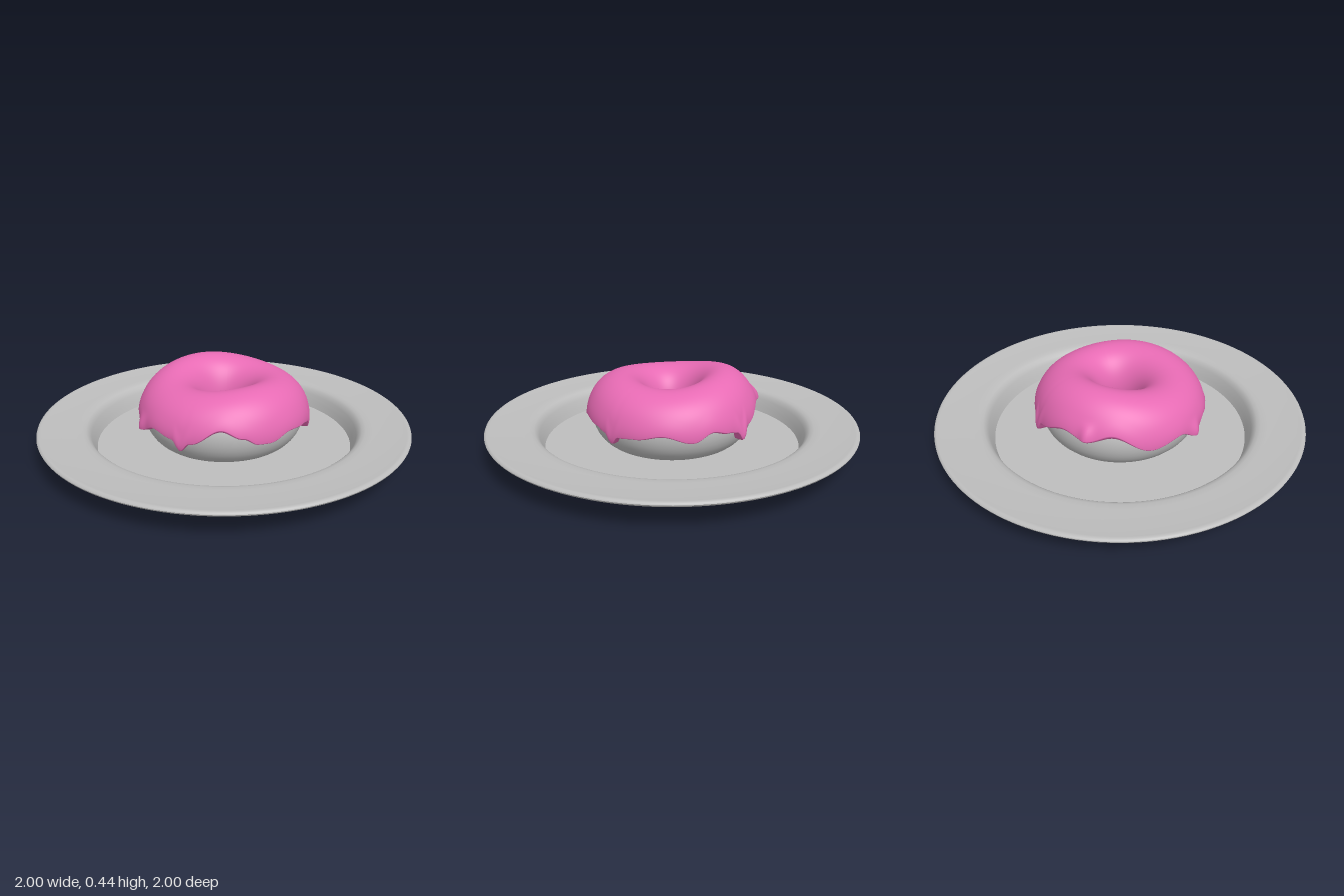
import * as THREE from 'three';
import { toCreasedNormals } from 'three/addons/utils/BufferGeometryUtils.js';

const RING = 0.2735;    // radius of the ring's centre line
const MID = 0.2;        // height of the ring's centre line
const DOUGH_R = 0.157;  // dough half width
const DOUGH_H = 0.17;   // dough half height

// Lower edge of the icing: [degrees from the front towards +x, height]
const EDGE = [
  [0, 0.175], [16, 0.205], [33, 0.195], [43, 0.18], [48.5, 0.13], [54, 0.175], [66, 0.185],
  [84, 0.21], [103, 0.175], [116, 0.215], [128, 0.195], [135, 0.185], [140, 0.135], [146, 0.195],
  [170, 0.245], [186, 0.225], [203, 0.26], [229, 0.185], [250, 0.21], [264, 0.16], [280, 0.205],
  [296, 0.185], [302, 0.135], [308, 0.18], [328, 0.255], [342, 0.215], [352, 0.18], [360, 0.175],
];
// Swollen drip ends: [degrees, extra thickness]
const DRIPS = [[48.5, 0.25], [140, 0.6], [186, 0.6], [264, 0.7], [302, 0.35]];

function edgeHeight(deg) {
  const i = Math.max(1, EDGE.findIndex(([d]) => d >= deg));
  const [d0, h0] = EDGE[i - 1], [d1, h1] = EDGE[i];
  const t = (1 - Math.cos(Math.PI * (deg - d0) / (d1 - d0))) / 2;
  return h0 + (h1 - h0) * t;
}

// Point on the icing: a = angle round the ring, phi = angle round the tube,
// k = 0 on the dough, 1 on the icing's outside
function icingPoint(a, phi, k) {
  const c = Math.cos(phi), s = Math.sin(phi);
  const crest = 0.207 + 0.0165 * Math.cos(2 * a) - 0.0135 * Math.cos(a) + 0.005 * Math.sin(a);
  const width = 0.176 + 0.0105 * c;
  const height = s > 0 ? crest : 0.18 + (crest - 0.18) * Math.max(0, 1 + s * 4);
  const r = RING + c * THREE.MathUtils.lerp(DOUGH_R - 0.004, width, k);
  return [r * Math.sin(a), MID + s * THREE.MathUtils.lerp(DOUGH_H - 0.004, height, k), r * Math.cos(a)];
}

function icingGeometry() {
  const cols = 240, rows = 44, lip = 6;
  const positions = [], index = [];
  const total = rows + lip;
  for (let i = 0; i <= total; i++) {
    for (let j = 0; j < cols; j++) {
      const deg = j / cols * 360, a = THREE.MathUtils.degToRad(deg);
      const start = THREE.MathUtils.degToRad(200);
      const end = Math.asin((edgeHeight(deg) - MID) / 0.185) + 0.06;
      const t = Math.min(1, i / rows);
      const q = Math.max(0, i - rows) / lip * Math.PI / 2;
      const phi = start + (end - start) * t - 0.06 * Math.sin(q);
      // thicken towards the drip ends
      let swell = 0.1;
      for (const [d, amount] of DRIPS) swell += amount * Math.exp(-(((deg - d) / 4) ** 2));
      const k = (1 + swell * THREE.MathUtils.smoothstep(t, 0.86, 1)) * Math.cos(q);
      positions.push(...icingPoint(a, phi, k));
      if (i < total) {
        const p = i * cols + j, n = i * cols + (j + 1) % cols;
        index.push(p, p + cols, n, p + cols, n + cols, n);
      }
    }
  }
  const geometry = new THREE.BufferGeometry();
  geometry.setAttribute('position', new THREE.Float32BufferAttribute(positions, 3));
  geometry.setIndex(index);
  geometry.computeVertexNormals();
  return geometry;
}

function plateGeometry() {
  // closed profile: underside, rim, then back along the inside
  const profile = [
    [0, 0], [0.66, 0.004], [0.69, 0.008], [0.703, 0.016], [0.708, 0.032], [0.716, 0.05],
    [0.733, 0.09], [0.742, 0.108], [0.754, 0.118], [0.775, 0.123], [0.82, 0.124], [0.97, 0.124],
    [0.988, 0.126], [0.997, 0.132], [1, 0.139], [0.997, 0.146], [0.988, 0.15], [0.975, 0.149],
    [0.95, 0.145], [0.8, 0.142], [0.765, 0.14], [0.745, 0.134], [0.73, 0.122], [0.718, 0.1],
    [0.703, 0.06], [0.692, 0.028], [0, 0.028],
  ].map(([x, y]) => new THREE.Vector2(x, y));
  return toCreasedNormals(new THREE.LatheGeometry(profile, 128), 0.75);
}

export function createModel() {
  const grey = new THREE.MeshStandardMaterial({ color: 0xbdbdbd });
  grey.name = 'grey';
  const pink = new THREE.MeshStandardMaterial({ color: 0xea6cb6, side: THREE.DoubleSide });
  pink.name = 'pink';

  const group = new THREE.Group();
  const add = (name, geometry, material) => {
    const mesh = new THREE.Mesh(geometry, material);
    mesh.name = name;
    group.add(mesh);
  };

  add('plate', plateGeometry(), grey);

  // dough ring resting on the plate
  const dough = new THREE.TorusGeometry(RING, DOUGH_R, 36, 96);
  dough.rotateX(-Math.PI / 2).scale(1, DOUGH_H / DOUGH_R, 1).translate(0, MID, 0);
  add('dough', dough, grey);

  add('icing', icingGeometry(), pink);
  return group;
}
